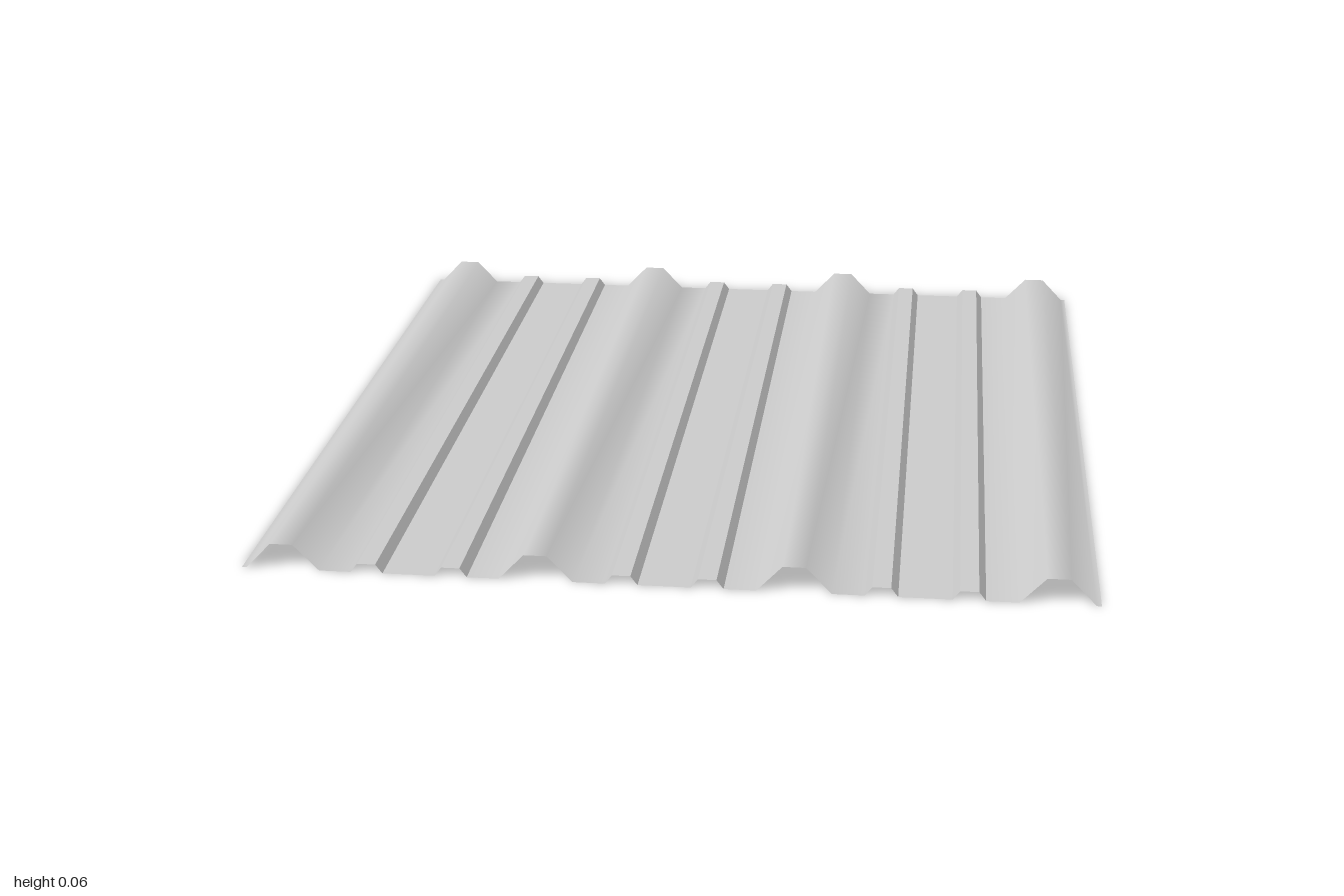
import * as THREE from 'three';
import { toCreasedNormals } from 'three/addons/utils/BufferGeometryUtils.js';

const PITCH = 0.553;   // spacing of the tall ribs
const HALF_WIDTH = 0.92;
const LENGTH = 2;

// Trapezoid rib as four profile points
const rib = (x, base, top, height) => [
  [x - base, 0], [x - top, height], [x + top, height], [x + base, 0],
];
const tallRib = (x) => rib(x, 0.08, 0.025, 0.058);
const lowRib = (x) => rib(x, 0.035, 0.02, 0.02);

// Cross-section from -x to +x: tall ribs with two low stiffeners between each pair
function sheetProfile() {
  const points = [[-HALF_WIDTH, 0]];
  for (let i = 0; i < 4; i++) {
    const x = (i - 1.5) * PITCH;
    points.push(...tallRib(x));
    if (i < 3) {
      const middle = x + PITCH / 2;
      points.push(...lowRib(middle - 0.092), ...lowRib(middle + 0.092));
    }
  }
  points.push([HALF_WIDTH, 0]);
  return points;
}

export function createModel() {
  const group = new THREE.Group();
  group.name = 'corrugatedRoofSheet';

  // Flat sheet whose columns are moved onto the cross-section
  const profile = sheetProfile();
  const geometry = new THREE.PlaneGeometry(1, LENGTH, profile.length - 1, 1);
  geometry.rotateX(-Math.PI / 2);
  const position = geometry.attributes.position;
  for (let i = 0; i < position.count; i++) {
    const [x, y] = profile[i % profile.length];
    position.setXYZ(i, x, y, position.getZ(i));
  }

  // Tall ribs shade softly, low stiffeners keep crisp folds
  const sheet = new THREE.Mesh(
    toCreasedNormals(geometry, THREE.MathUtils.degToRad(50)),
    new THREE.MeshStandardMaterial({ color: 0xcccccc, side: THREE.DoubleSide }),
  );
  sheet.name = 'ribbedSheet';
  group.add(sheet);
  return group;
}
